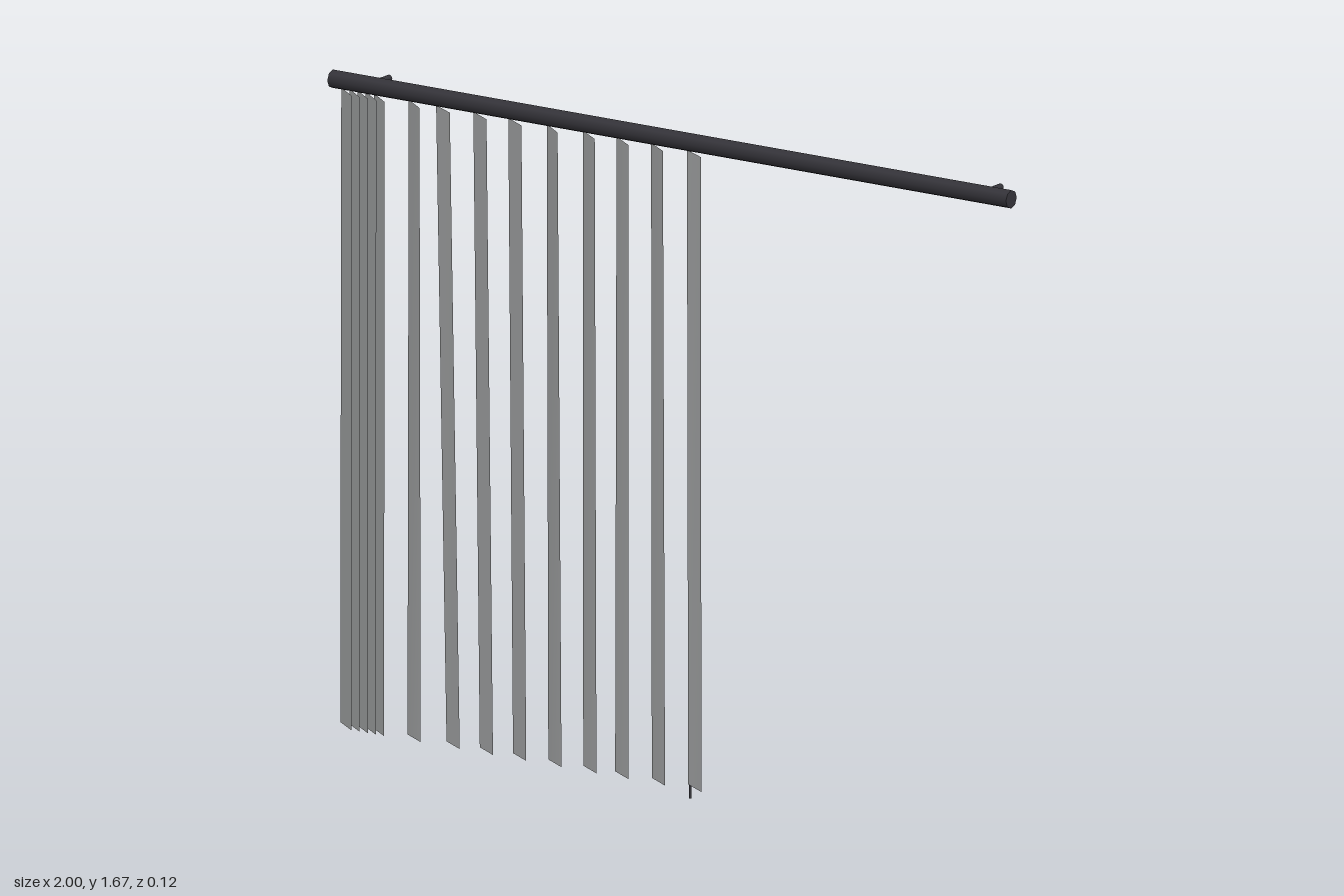
import * as THREE from 'three';

const TOP = 1.625, BOTTOM = 0.035;   // slat heights
const RAIL_Y = 1.647, RAIL_Z = 0.02;

// Thin angled slat: left edge sits back, right edge sits forward.
// topHz is the half depth at the top, which gives each slat a slight twist.
function slatGeometry(topX, bottomX, topHz, bottomHz) {
  const hx = 0.034, z = 0.0345;
  const g = new THREE.BufferGeometry();
  g.setAttribute('position', new THREE.Float32BufferAttribute([
    bottomX - hx, BOTTOM, z - bottomHz,
    bottomX + hx, BOTTOM, z + bottomHz,
    topX + hx, TOP, z + topHz,
    topX - hx, TOP, z - topHz,
  ], 3));
  g.setIndex([0, 1, 2, 0, 2, 3]);
  g.computeVertexNormals();
  return g;
}

export function createModel() {
  const model = new THREE.Group();
  model.name = 'verticalBlind';
  const railMat = new THREE.MeshStandardMaterial({ color: 0x35343a });
  railMat.name = 'dark rail';
  const slatMat = new THREE.MeshStandardMaterial({ color: 0xcacccd, side: THREE.DoubleSide });
  slatMat.name = 'grey fabric';

  const add = (name, geometry, material) => {
    const mesh = new THREE.Mesh(geometry, material);
    mesh.name = name;
    model.add(mesh);
    return mesh;
  };

  // Head rail
  const rail = add('rail', new THREE.CylinderGeometry(0.023, 0.023, 2, 8), railMat);
  rail.rotation.z = Math.PI / 2;
  rail.position.set(0, RAIL_Y, RAIL_Z);

  // Wall brackets behind the rail
  for (const x of [-0.89, 0.912]) {
    const bracket = add('bracket', new THREE.CylinderGeometry(0.009, 0.009, 0.082, 8), railMat);
    bracket.rotation.x = Math.PI / 2;
    bracket.position.set(x, RAIL_Y, -0.021);
  }

  // Gathered slats at the right end
  for (let i = 0; i < 5; i++) {
    const x = -0.951 + i * 0.024;
    add('gatheredSlat', slatGeometry(x + 0.002, x, 0.0265, 0.025), slatMat);
  }

  // Spread slats: top x, bottom x, half depth at the top
  const spread = [
    [-0.75, -0.75, 0.026], [-0.665, -0.635, 0.02], [-0.556, -0.537, 0.021],
    [-0.453, -0.439, 0.021], [-0.343, -0.335, 0.026], [-0.235, -0.232, 0.024],
    [-0.136, -0.138, 0.024], [-0.034, -0.03, 0.024], [0.075, 0.077, 0.019],
  ];
  for (const [topX, bottomX, topHz] of spread) {
    add('slat', slatGeometry(topX, bottomX, topHz, 0.021), slatMat);
  }

  // Pull cord just behind the last slat
  const cord = add('cord', new THREE.CylinderGeometry(0.003, 0.003, RAIL_Y, 6), railMat);
  cord.position.set(0.047, RAIL_Y / 2, 0.011);

  return model;
}
